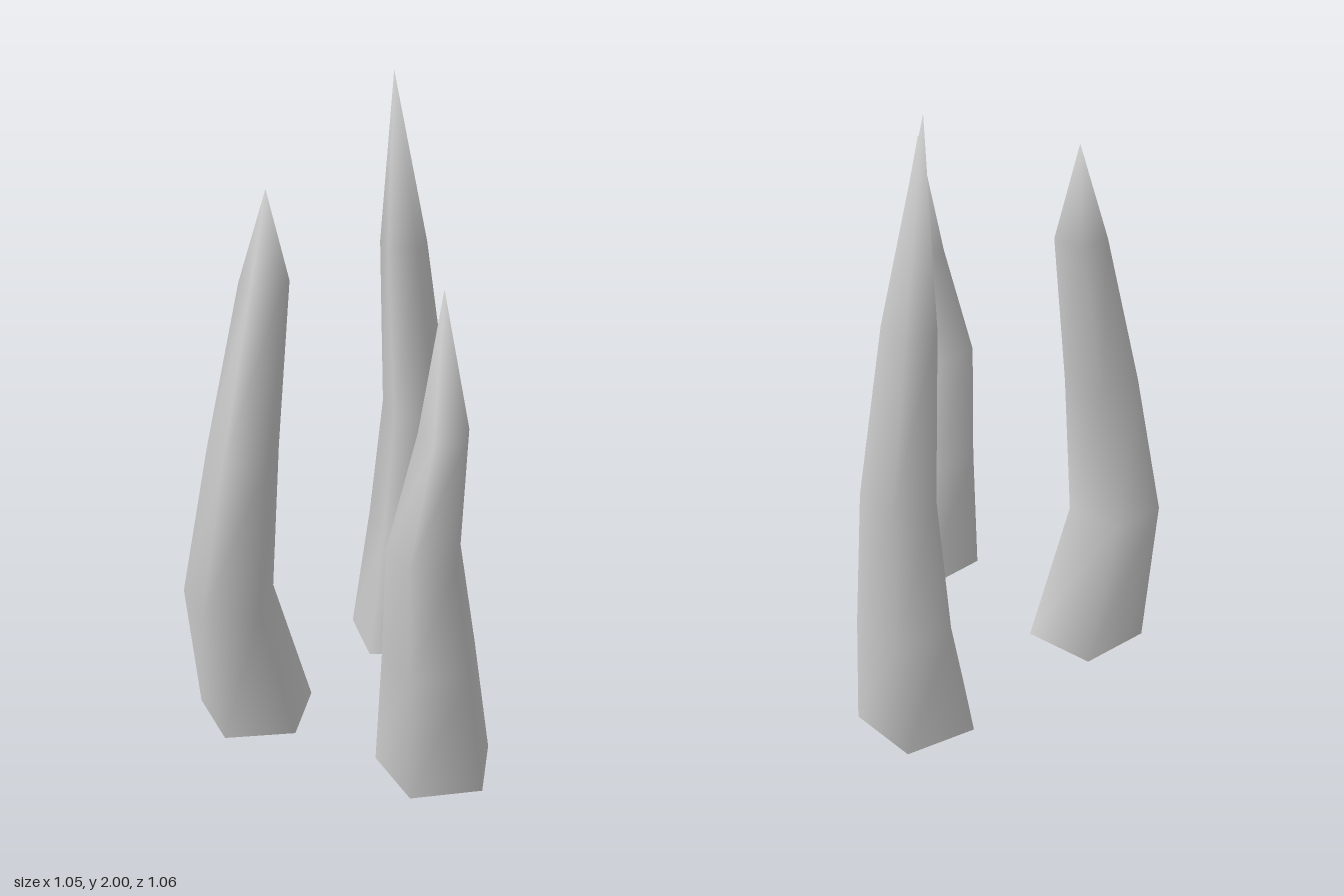
import * as THREE from 'three';

const SIDES = 5;

// Each ring is [centre x, y, centre z, radius]; the spike closes in a point at tip.
const SPIKES = [
  {
    name: 'leftBackSpike', turn: 12, tip: [0.285, 2.0, -0.37],
    rings: [[0.333, 0, -0.362, 0.19], [0.376, 0.43, -0.4, 0.147], [0.374, 0.87, -0.37, 0.114], [0.343, 1.43, -0.406, 0.079]],
  },
  {
    name: 'rightSpike', turn: 3, tip: [-0.225, 1.755, -0.193],
    rings: [[-0.312, 0, -0.18, 0.192], [-0.403, 0.47, -0.16, 0.148], [-0.34, 0.96, -0.153, 0.115], [-0.24, 1.47, -0.186, 0.079]],
  },
  {
    name: 'frontSpike', turn: 0, tip: [0.05, 1.59, 0.355],
    rings: [[0.061, 0, 0.35, 0.191], [0.025, 0.43, 0.371, 0.15], [-0.021, 0.81, 0.403, 0.116], [0.033, 1.18, 0.407, 0.077]],
  },
];

// Corner points of one ring
function ringPoints([cx, y, cz, r], turn) {
  return Array.from({ length: SIDES }, (_, i) => {
    const a = THREE.MathUtils.degToRad(turn) + (i / SIDES) * Math.PI * 2;
    return [cx + r * Math.cos(a), y, cz + r * Math.sin(a)];
  });
}

function build(points, index) {
  const geo = new THREE.BufferGeometry();
  geo.setAttribute('position', new THREE.Float32BufferAttribute(points.flat(), 3));
  geo.setIndex(index);
  geo.computeVertexNormals();
  return geo;
}

// Smooth-shaded bent shaft, ending in a point
function shaftGeometry({ rings, tip, turn }) {
  const points = rings.flatMap((ring) => ringPoints(ring, turn));
  const tipIndex = points.push(tip) - 1;
  const index = [];
  rings.forEach((_, k) => {
    for (let i = 0; i < SIDES; i++) {
      const a = k * SIDES + i;
      const b = k * SIDES + ((i + 1) % SIDES);
      if (k === rings.length - 1) index.push(a, tipIndex, b);
      else index.push(a, a + SIDES, b, b, a + SIDES, b + SIDES);
    }
  });
  return build(points, index);
}

// Flat underside
function baseGeometry({ rings, turn }) {
  const index = [];
  for (let i = 1; i < SIDES - 1; i++) index.push(0, i, i + 1);
  return build(ringPoints(rings[0], turn), index);
}

export function createModel() {
  const model = new THREE.Group();
  model.name = 'spikes';
  const material = new THREE.MeshStandardMaterial({ color: 0xcccccc });
  for (const spec of SPIKES) {
    const spike = new THREE.Group();
    spike.name = spec.name;
    const shaft = new THREE.Mesh(shaftGeometry(spec), material);
    shaft.name = 'shaft';
    const base = new THREE.Mesh(baseGeometry(spec), material);
    base.name = 'base';
    spike.add(shaft, base);
    model.add(spike);
  }
  return model;
}
